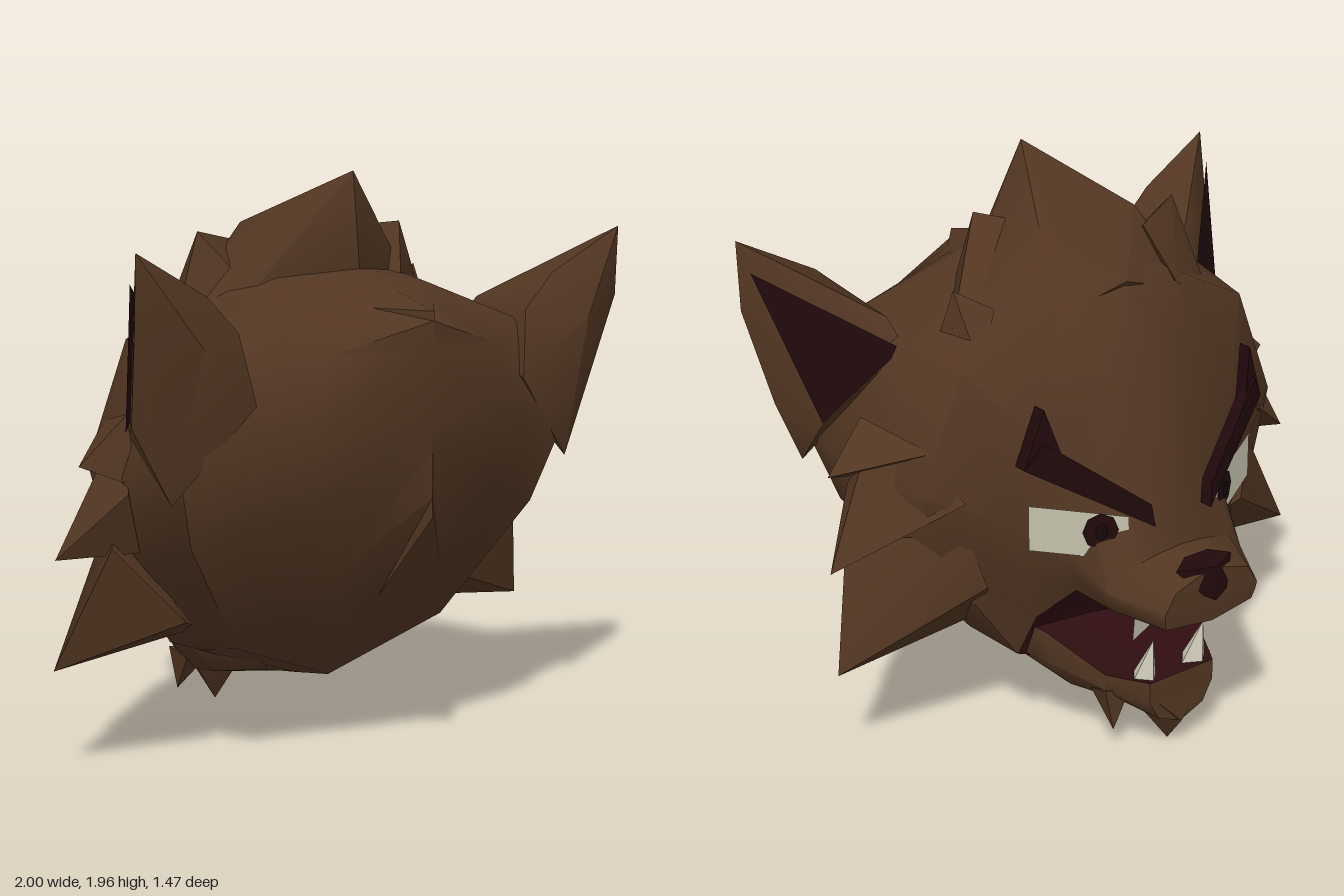
import * as THREE from 'three';
import { toCreasedNormals } from 'three/addons/utils/BufferGeometryUtils.js';
import { ConvexGeometry } from 'three/addons/geometries/ConvexGeometry.js';

const flat = (name, color, side = THREE.FrontSide) => {
  const m = new THREE.MeshStandardMaterial({ color, side });
  m.name = name;
  return m;
};
const flip = (pts) => pts.map(([x, y, z]) => [-x, y, z]);

// Skin over half cross-sections (top to bottom), back to front, both sides
function loft(layers, keep) {
  const pos = [];
  for (let i = 0; i < layers.length - 1; i++) {
    for (let j = 0; j < layers[i].length - 1; j++) {
      if (!keep(i, j)) continue;
      const a = layers[i][j], b = layers[i][j + 1];
      const c = layers[i + 1][j + 1], d = layers[i + 1][j];
      const quad = [a, b, c, a, c, d];
      pos.push(...quad.flat(), ...flip(quad).reverse().flat());
    }
  }
  const g = new THREE.BufferGeometry();
  g.setAttribute('position', new THREE.Float32BufferAttribute(pos, 3));
  return toCreasedNormals(g, 0.9);
}

// Half cross-section: broad crown above the widest point, V-shaped jowl below
function section([topY, topZ, width, midY, midZ, botY, botZ, jowl]) {
  return Array.from({ length: 7 }, (_, j) => {
    const t = (j / 6) * Math.PI, up = j < 3;
    const c = Math.abs(Math.cos(t)), s = j % 6 ? Math.sin(t) : 0;
    return [
      width * Math.pow(s, up ? 1.7 : jowl),
      up ? midY + (topY - midY) * Math.pow(c, 0.7) : midY - (midY - botY) * Math.pow(c, 1.5),
      midZ + c * c * ((up ? topZ : botZ) - midZ),
    ];
  });
}

export function createModel() {
  const fur = flat('brown fur', 0x523622);
  const dark = flat('dark maroon', 0x20090b, THREE.DoubleSide);
  const mouth = flat('mouth red', 0x2e0d10, THREE.DoubleSide);
  const white = flat('eye white', 0xc6c3ae, THREE.DoubleSide);
  const ivory = flat('ivory teeth', 0xd6d2be);
  const black = flat('pupil black', 0x150708, THREE.DoubleSide);

  const model = new THREE.Group();
  model.name = 'beastHead';
  const add = (name, geometry, material) => {
    const mesh = new THREE.Mesh(geometry, material);
    mesh.name = name;
    model.add(mesh);
  };

  // Convex solids through a few corners: a mirrored pair, or one symmetric body
  const solid = (name, pts, mat) => {
    const hull = new ConvexGeometry(pts.map((p) => new THREE.Vector3(...p)));
    add(name, toCreasedNormals(hull, 0.8), mat);
  };
  const pair = (name, pts, mat) => {
    solid(name + 'Left', pts, mat);
    solid(name + 'Right', flip(pts), mat);
  };
  const symmetric = (name, half, mat) =>
    solid(name, [...half, ...flip(half.filter((p) => p[0] > 0))], mat);

  // Mirrored four-sided spikes from a base centre to a tip
  const spikePair = (name, tip, base, radius, mat) => {
    for (const [tag, side] of [['Left', 1], ['Right', -1]]) {
      const from = new THREE.Vector3(side * base[0], base[1], base[2]);
      const axis = new THREE.Vector3(side * tip[0], tip[1], tip[2]).sub(from);
      const length = axis.length();
      const turn = new THREE.Quaternion().setFromUnitVectors(THREE.Object3D.DEFAULT_UP, axis.normalize());
      const g = new THREE.ConeGeometry(radius, length, 4).toNonIndexed();
      g.translate(0, length / 2, 0).applyQuaternion(turn).translate(from.x, from.y, from.z);
      g.computeVertexNormals();
      add(name + tag, g, mat);
    }
  };

  // Flat polygon fans, mirrored
  const plates = (name, pts, mat) => {
    for (const [tag, list] of [['Left', pts], ['Right', flip(pts).reverse()]]) {
      const tris = [];
      for (let i = 1; i < list.length - 1; i++) tris.push(...list[0], ...list[i + 1], ...list[i]);
      const g = new THREE.BufferGeometry();
      g.setAttribute('position', new THREE.Float32BufferAttribute(tris, 3));
      g.computeVertexNormals();
      add(name + tag, g, mat);
    }
  };

  // Skull and muzzle: top y, z; half width, its y, z; bottom y, z; jowl
  const skull = [
    [1.53, 0.73, 0, 1.2, 0.73, 0.86, 0.73, 1],
    [1.58, 0.54, 0.42, 1.12, 0.66, 0.55, 0.45, 0.9],
    [1.62, 0.42, 0.62, 1.1, 0.53, 0.385, 0.31, 0.9],
    [1.64, 0.34, 0.82, 1.1, 0.48, 0.23, 0.18, 0.9],
    [1.7, 0.1, 0.83, 1.0, 0.17, 0.2, 0, 0.9],
    [1.65, -0.2, 0.76, 1.0, -0.14, 0.17, -0.2, 0.9],
    [1.35, -0.45, 0.52, 0.9, -0.29, 0.38, -0.22, 0.5],
    [1.0, -0.51, 0.35, 0.78, -0.38, 0.57, -0.36, 0.25],
    [0.77, -0.56, 0.29, 0.66, -0.53, 0.56, -0.5, 0.2],
    [0.74, -0.72, 0.2, 0.63, -0.715, 0.55, -0.7, 0.1],
    [0.74, -0.72, 0, 0.63, -0.72, 0.55, -0.72, 1],
  ].map(section);
  const inMouth = (i, j) => i >= 5 && i < 9 && j === 5;
  add('skull', loft(skull, (i, j) => !inMouth(i, j)), fur);
  add('mouthLining', loft(skull, inMouth), mouth);

  // Lower jaw with a red floor: z, half width, rim y, bottom y
  const jaw = [
    [0.1, 0.28, 0.45, 0.22],
    [-0.1, 0.39, 0.45, 0.185],
    [-0.27, 0.35, 0.43, 0.155],
    [-0.43, 0.22, 0.29, 0.13],
    [-0.57, 0.14, 0.29, 0.1],
    [-0.57, 0, 0.29, 0.1],
  ].map(([z, w, rim, low]) => [
    [0, rim - 0.03, z], [w, rim, z], [w, (rim + low) / 2 + 0.02, z], [w * 0.7, low + 0.04, z], [0, low, z],
  ]);
  const isFloor = (i, j) => j === 0 && i < 4;
  add('lowerJaw', loft(jaw, (i, j) => !isFloor(i, j)), fur);
  add('mouthFloor', loft(jaw, isFloor), mouth);

  // Ears, running into the mane behind, with dark inner faces
  pair('ear', [
    [1, 1.75, 0.53], [1, 1.51, 0.52], [0.8, 1.45, 0.6], [0.6, 1.48, 0.5], [0.72, 1.6, 0.5], [0.64, 1.5, 0.2],
    [0.62, 1.41, 0.13], [0.86, 1.15, 0.27], [0.83, 0.95, 0.46], [0.95, 1.2, 0.42], [0.56, 1.25, 0.54],
  ], fur);
  plates('innerEar', [[0.984, 1.651, 0.473], [0.638, 1.412, 0.121], [0.867, 1.16, 0.259]], dark);

  // Cheek tufts, sweeping back from the face
  pair('upperCheekTuft', [[0.95, 1.04, 0.11], [0.79, 1.2, 0.15], [0.79, 0.97, 0.2], [0.7, 1.14, -0.13]], fur);
  pair('middleCheekTuft', [
    [1, 0.73, 0.04], [0.82, 0.95, 0.2], [0.64, 0.98, -0.23], [0.74, 0.74, 0.14], [0.78, 1.18, 0.1],
  ], fur);
  pair('lowerCheekTuft', [
    [1, 0.36, 0.02], [0.86, 0.77, 0.16], [0.6, 0.5, 0.2], [0.56, 0.65, -0.23], [0.62, 0.85, -0.2], [0.42, 0.42, 0],
  ], fur);

  // Crest and uneven tufts on the crown
  symmetric('crest', [
    [0, 1.96, 0.31], [0.2, 1.78, -0.05], [0, 1.6, 0.35], [0.32, 1.58, 0.2],
    [0, 1.61, -0.26], [0.42, 1.45, -0.14], [0.5, 1.47, 0.05],
  ], fur);
  solid('crownTuftLeft', [
    [0.27, 1.78, 0.22], [0.1, 1.75, 0], [0.2, 1.55, 0.32], [0.36, 1.58, 0.2], [0.52, 1.49, 0], [0.3, 1.55, -0.13],
  ], fur);
  solid('crownTuftRight', [
    [-0.41, 1.76, 0], [-0.2, 1.72, -0.1], [-0.53, 1.48, 0.05], [-0.5, 1.38, -0.12], [-0.3, 1.6, 0.1], [-0.25, 1.54, -0.22],
  ], fur);
  solid('smallCrownTuft', [[0.5, 1.61, 0.02], [0.4, 1.55, -0.07], [0.54, 1.45, 0.05], [0.5, 1.38, -0.13], [0.4, 1.5, 0.1]], fur);

  // Beard tufts
  spikePair('sideBeard', [0.2, 0.08, -0.45], [0.18, 0.22, -0.41], 0.07, fur);
  symmetric('chinBeard', [[0, 0, -0.5], [0.12, 0.17, -0.47], [0.1, 0.2, -0.57], [0, 0.1, -0.575], [0, 0.16, -0.42]], fur);

  // Angry brows: slanted bar with an upturned outer tip
  const thick = (pts) => pts.flatMap(([x, y, z]) => [[x, y, z - 0.015], [x, y, z + 0.035]]);
  pair('brow', thick([[0.12, 0.87, -0.55], [0.13, 0.95, -0.54], [0.51, 1.11, -0.355], [0.45, 1.2, -0.39]]), dark);
  pair('browTip', thick([[0.39, 1.13, -0.41], [0.51, 1.11, -0.355], [0.44, 1.31, -0.37]]), dark);

  // Eyes on a slanted plane
  const onFace = (lift) => ([x, y]) => [x, y, -0.59 + 0.5 * x - lift];
  const oval = (rx, ry) => Array.from({ length: 8 }, (_, i) => {
    const a = (i / 8) * Math.PI * 2;
    return [0.27 + rx * Math.cos(a), 0.86 + ry * Math.sin(a)];
  });
  plates('eye', [[0.48, 0.97], [0.18, 0.9], [0.18, 0.84], [0.31, 0.77], [0.48, 0.81]].map(onFace(0)), white);
  plates('iris', oval(0.055, 0.065).map(onFace(0.008)), dark);
  plates('pupil', oval(0.02, 0.03).map(onFace(0.014)), black);

  // Nose
  symmetric('nose', [
    [0.05, 0.762, -0.63], [0.12, 0.745, -0.67], [0, 0.755, -0.735], [0.05, 0.66, -0.732], [0, 0.63, -0.735],
  ], dark);

  // Fangs
  spikePair('upperFang', [0.16, 0.43, -0.5], [0.16, 0.58, -0.57], 0.05, ivory);
  spikePair('lowerFang', [0.11, 0.44, -0.55], [0.11, 0.26, -0.5], 0.055, ivory);

  return model;
}
